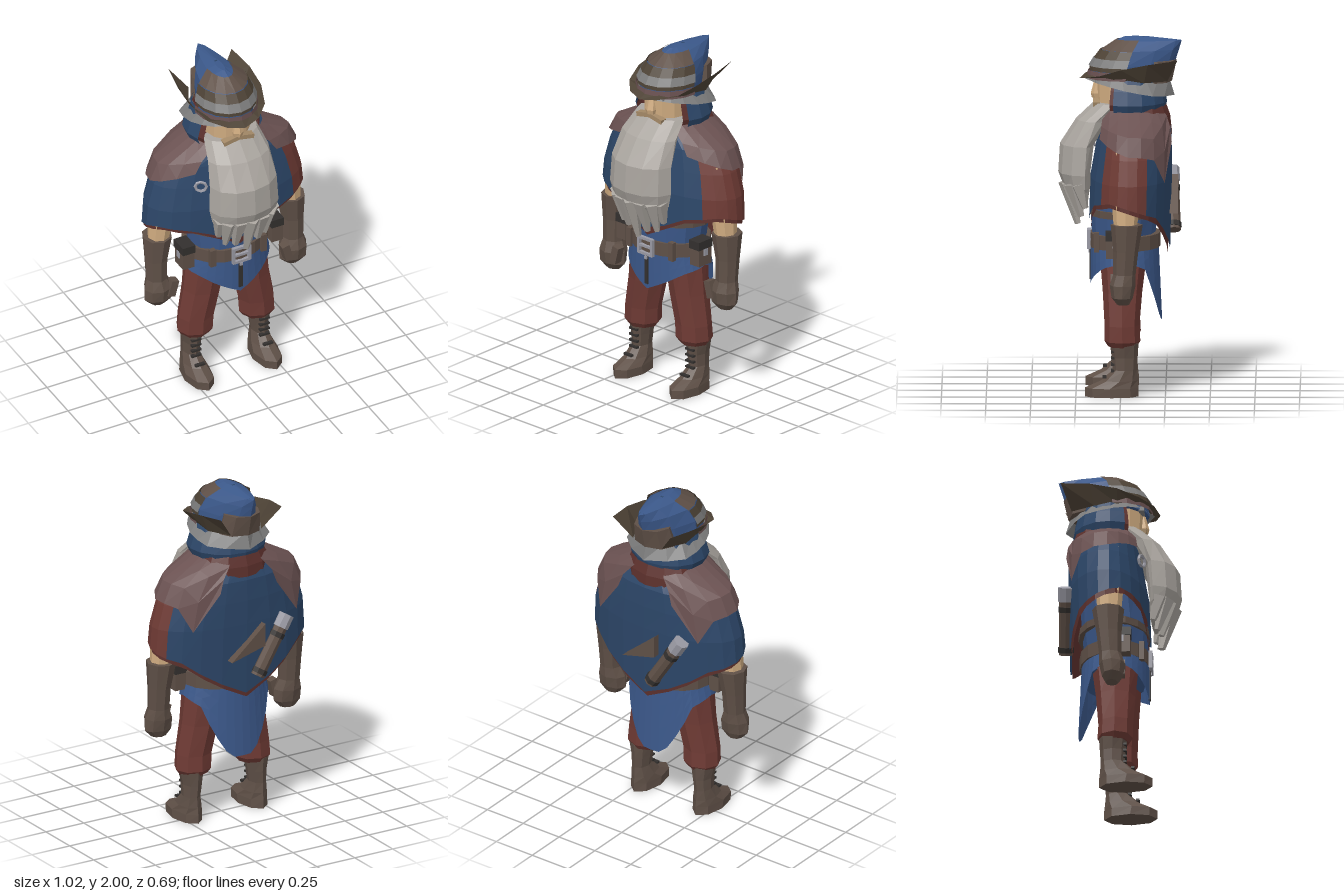
import * as THREE from 'three';
import { ParametricGeometry } from 'three/addons/geometries/ParametricGeometry.js';

const C = {
  blue: 0x3b588a, cape: 0x2c4668, red: 0x6e3a34, lining: 0x5c302c, pad: 0x6b5252, leather: 0x5f5047,
  brim: 0x4e4336, dark: 0x33302e, grey: 0x7c7c7c, metal: 0x9a9aa4, beard: 0xaaa59f, skin: 0xcfab80,
};
const PI = Math.PI;

// Row of a table [key, ...values] interpolated at key x
function lookup(table, x) {
  let i = 0;
  while (i < table.length - 2 && x > table[i + 1][0]) i++;
  const [p, q] = [table[i], table[i + 1]];
  const t = Math.min(1, Math.max(0, (x - p[0]) / (q[0] - p[0])));
  return p.slice(1).map((v, k) => v + (q[k + 1] - v) * t);
}

// Closed solid through level rings [y, halfWidth, zFront, zBack, cx, zWidest], bottom to top
function loft(rings, n = 8, pinch = 0) {
  const pos = [], idx = [];
  const add = (x, y, z) => pos.push(x, y, z) / 3 - 1;
  for (const [y, rx, zf, zb, cx = 0, zc = (zf + zb) / 2] of rings) {
    for (let j = 0; j < n; j++) {
      const s = Math.sin(j / n * 2 * PI), c = Math.cos(j / n * 2 * PI);
      add(cx + rx * s * (1 - pinch * Math.max(0, -c)), y, zc + c * (c > 0 ? zf - zc : zc - zb));
    }
  }
  const top = (rings.length - 1) * n;
  const ends = [rings[0], rings[rings.length - 1]].map(r => add(r[4] ?? 0, r[0], (r[2] + r[3]) / 2));
  for (let j = 0; j < n; j++) {
    const k = (j + 1) % n;
    for (let i = 0; i < top; i += n) idx.push(i + j, i + k, i + n + k, i + j, i + n + k, i + n + j);
    idx.push(ends[0], k, j, ends[1], top + j, top + k);
  }
  const g = new THREE.BufferGeometry();
  g.setAttribute('position', new THREE.Float32BufferAttribute(pos, 3));
  g.setIndex(idx);
  g.computeVertexNormals();
  return g;
}

// Open sheet from a rule f(u, v) -> [x, y, z]
const sheet = (nu, nv, f) => new ParametricGeometry((u, v, t) => t.set(...f(u, v)), nu, nv);

// Poncho: level rows by fraction, hem height by angle (0 = front, PI = back)
const PONCHO = [[0, 1.61, .15, .1, -.2], [.2, 1.56, .235, .11, -.25], [.4, 1.48, .39, .125, -.28],
  [.6, 1.36, .445, .145, -.285], [.8, 1.22, .485, .17, -.285], [1, 1.1, .495, .178, -.275]];
const HEM = [[0, .95], [.45, 1.08], [1.1, 1.12], [1.57, 1.09], [2.3, 1.03], [PI, .8]];
const SKIRT_HEM = [[0, .6], [.9, .72], [1.6, .76], [2.15, .72], [2.45, .57], [2.85, .41], [PI, .41]];
const fold = a => Math.abs(a > PI ? a - 2 * PI : a);
function ponchoAt(a, v, grow = 0, drop = 0) {
  let [y, rx, zf, zb] = lookup(PONCHO, v);
  if (v > .8) y += (lookup(HEM, fold(a))[0] - drop - 1.1) * (v - .8) / .2;
  const s = Math.sin(a), c = Math.cos(a), zc = -.05;
  return [(rx + grow) * Math.sign(s) * Math.abs(s) ** .9, y + Math.max(0, grow) * .6,
    zc + c * (c > 0 ? zf - zc + grow : zc - zb + grow)];
}

const CROWN = [[1.76, .165, .17, -.27, 0, -.02], [1.85, .16, .16, -.3, 0, -.03],
  [1.93, .13, .1, -.325, 0, -.06], [1.98, .07, .03, -.34, 0, -.1], [2, .02, -.02, -.16, 0, -.09]];

export function createModel() {
  const model = new THREE.Group();
  function part(name, geo, color, open = false) {
    const m = new THREE.Mesh(geo, new THREE.MeshStandardMaterial({
      color, flatShading: true, side: open ? THREE.DoubleSide : THREE.FrontSide }));
    m.name = name;
    model.add(m);
    return m;
  }
  const box = (name, w, h, d, x, y, z, color) => {
    const m = part(name, new THREE.BoxGeometry(w, h, d), color);
    m.position.set(x, y, z);
    return m;
  };

  for (const s of [1, -1]) {
    const side = s > 0 ? 'left' : 'right';
    // Boots with laces
    part(side + 'Boot', loft([[0, .075, .2, -.1, .215 * s], [.05, .075, .2, -.1, .215 * s, .06],
      [.09, .062, .11, -.095, .215 * s], [.15, .048, .045, -.09, .217 * s],
      [.22, .053, .05, -.095, .213 * s], [.3, .068, .06, -.1, .215 * s]], 8), C.leather);
    for (let i = 0; i < 5; i++)
      box(side + 'Lace', .06, .012, .02, .215 * s, .11 + i * .036, i ? .045 : .09, C.dark);
    // Trousers
    part(side + 'TrouserLeg', loft([[.28, .085, .07, -.09, .195 * s], [.31, .108, .09, -.11, .195 * s],
      [.4, .108, .09, -.105, .19 * s], [.58, .112, .1, -.12, .155 * s], [.82, .115, .12, -.15, .125 * s]], 8), C.red);
    // Arms and gloves
    part(side + 'Arm', loft([[.95, .06, .035, -.09, .42 * s], [1.15, .072, .05, -.11, .4 * s],
      [1.4, .08, .05, -.13, .34 * s]], 8), C.skin);
    part(side + 'Glove', loft([[.55, .045, .02, -.05, .425 * s], [.59, .085, .05, -.07, .425 * s],
      [.66, .085, .06, -.085, .425 * s], [.72, .062, .04, -.085, .43 * s],
      [.85, .066, .04, -.1, .43 * s], [1, .085, .055, -.125, .42 * s]], 8), C.leather);
    const thumb = box(side + 'Thumb', .045, .1, .05, .36 * s, .66, .03, C.leather);
    thumb.rotation.z = .25 * s;
    // Belt pouches
    box(side + 'Pouch', .07, .14, .1, .28 * s, .86, .03, C.leather);
    box(side + 'PouchFlap', .078, .05, .11, .28 * s, .915, .03, C.dark);
    box(side + 'PouchClasp', .015, .04, .03, .315 * s, .87, .03, C.metal);
    box(side + 'BeltLoop', .035, .11, .03, .16 * s, .86, .135, C.leather);
    // Shoulder pads, drawn out to a point at the back
    part(side + 'ShoulderPad', sheet(7, 3, (u, v) => {
      const a = .6 + u * 2.15;
      const reach = lookup([[0, .46], [.4, .58], [.7, .6], [.88, .84], [1, .5]], u)[0];
      const p = ponchoAt(a, .06 + v * (reach - .06), .022);
      return [p[0] * s, p[1], p[2]];
    }), C.pad, true);
  }

  // Tunic and its pointed skirt
  part('tunic', loft([[.74, .235, .15, -.2], [.86, .225, .16, -.19], [1.05, .25, .17, -.21],
    [1.3, .28, .14, -.22], [1.55, .17, .08, -.18]], 12), C.blue);
  part('tunicSkirt', sheet(32, 3, (u, v) => {
    const a = u * 2 * PI, y0 = .86, h = lookup(SKIRT_HEM, fold(a))[0];
    const c = Math.cos(a), w = .235 + .03 * v;
    return [w * Math.sin(a), y0 + (h - y0) * v, -.02 + c * (c > 0 ? .19 : .19 + .02 * v)];
  }), C.blue, true);

  // Belts and buckle
  part('belt', loft([[.82, .25, .174, -.222], [.9, .25, .174, -.222]], 16), C.leather);
  part('upperStrap', loft([[1, .262, .175, -.228], [1.04, .264, .175, -.228]], 16), C.leather);
  for (const s of [1, -1]) {
    box('buckleBar', .11, .016, .02, 0, .86 + .045 * s, .178, C.metal);
    box('buckleSide', .016, .1, .02, .05 * s, .86, .178, C.metal);
  }
  box('bucklePin', .09, .014, .02, 0, .86, .178, C.metal);
  box('hangingStrap', .025, .18, .012, 0, .72, .17, C.dark);
  box('strapStud', .018, .018, .012, 0, .79, .176, C.metal);

  // Poncho: blue cloth, red panel on the left side, red lining below the hem
  const cloth = (name, a0, a1, n, color, grow = 0, drop = 0) =>
    part(name, sheet(n, 5, (u, v) => ponchoAt(a0 + u * (a1 - a0), v, grow, drop)), color, true);
  cloth('ponchoSidePanel', .8, 2, 5, C.red);
  cloth('poncho', 2, 2 * PI + .8, 18, C.cape);
  cloth('ponchoLining', 0, 2 * PI, 24, C.lining, -.012, .025);

  // Scarf and hood at the neck
  part('scarf', loft([[1.5, .23, .08, -.28], [1.56, .225, .08, -.275], [1.63, .19, .06, -.25]], 12), C.lining);
  const hood = (name, grow, color, a0) => part(name, sheet(10, 3, (u, v) => {
    const a = a0 + u * 2 * (PI - a0);
    const [w, d] = lookup([[0, .17, .17], [.4, .21, .2], [.75, .235, .21], [1, .2, .19]], v);
    return [(w + grow) * Math.sin(a), 1.79 - .23 * v, -.05 + (d + grow) * Math.cos(a)];
  }), color, true);
  hood('hood', 0, C.cape, 1.1);
  hood('hoodLining', -.012, C.lining, .95);

  // Head, nose, brows and moustache
  part('head', loft([[1.5, .11, .1, -.12], [1.62, .13, .135, -.14], [1.8, .135, .14, -.15]], 12), C.skin);
  part('nose', loft([[1.655, .03, .162, .1], [1.68, .036, .168, .1], [1.77, .018, .145, .1]], 6), C.skin);
  for (const s of [1, -1]) {
    box('eyebrow', .075, .025, .03, .065 * s, 1.765, .13, C.grey);
    box('moustache', .1, .026, .04, .045 * s, 1.638, .135, 0xa58a68).rotation.z = -.2 * s;
  }

  // Beard with chunky hanging locks, longest in the middle
  part('beard', loft([[1.1, .15, .28, .18, 0, .2], [1.16, .195, .32, .17, 0, .2], [1.24, .212, .35, .17, 0, .2],
    [1.4, .205, .34, .15, 0, .19], [1.54, .19, .25, .05, 0, .14], [1.635, .165, .15, -.01, 0, .04]], 12), C.beard);
  for (let i = -3; i <= 3; i++) {
    const len = .25 - Math.abs(i) * .03 - (i % 2 ? .02 : 0), a = i * .45;
    const lock = part('beardLock', new THREE.CylinderGeometry(.05, .018, len, 5), C.beard);
    lock.position.set(.16 * Math.sin(a), 1.19 - len / 2, .2 + .07 * Math.cos(a));
    lock.rotation.set(.25, i * .7, 0);
  }

  // Hat: pointed crown leaning back, layered front bands, upturned brim, neck flap
  part('hatCrown', loft(CROWN, 12, .35), C.blue);
  const bands = [[1.77, 1.815, C.pad, .02], [1.815, 1.85, C.brim, .012], [1.84, 1.885, C.grey, .02],
    [1.88, 1.93, C.brim, .016], [1.93, 1.985, C.leather, .01]];
  for (const [y0, y1, color, grow] of bands) part('hatBand', sheet(8, 1, (u, v) => {
    const a = -1.6 + u * 3.2, y = y0 + (y1 - y0) * v;
    const [rx, zf, , , zc] = lookup(CROWN, y);
    return [(rx + grow) * Math.sin(a), y, zc + (zf - zc + grow) * Math.cos(a)];
  }), color, true);
  box('hatRidge', .02, .012, .2, 0, 1.985, -.22, C.cape).rotation.x = -.1;
  const OUTER = [[0, 0, 1.765, .23], [.2, .1, 1.78, .2], [.4, .18, 1.8, .12], [.6, .22, 1.84, 0],
    [.8, .225, 1.87, -.15], [1, .2, 1.89, -.315]];
  const INNER = [[0, 0, 1.8, .16], [.2, .08, 1.795, .15], [.4, .14, 1.785, .09], [.6, .17, 1.77, 0],
    [.8, .17, 1.76, -.13], [1, .1, 1.76, -.26]];
  const FLAP = [[0, 0, 1.762, .2], [.3, .17, 1.75, .11], [.55, .23, 1.715, -.05], [.8, .2, 1.685, -.21],
    [1, 0, 1.67, -.3]];
  const CROWN_EDGE = [[0, 0, 1.79, .16], [.3, .14, 1.79, .08], [.55, .165, 1.78, -.03], [.8, .14, 1.77, -.17],
    [1, 0, 1.77, -.27]];
  const strip = (name, from, to, n, color) => part(name, sheet(n, 1, (u, v) => {
    const k = u * 2 - 1, p = lookup(from, Math.abs(k)), q = lookup(to, Math.abs(k));
    const r = p.map((e, i) => e + (q[i] - e) * v);
    return [r[0] * Math.sign(k), r[1], r[2]];
  }), color, true);
  strip('hatBrim', INNER, OUTER, 10, C.brim);
  strip('neckFlap', CROWN_EDGE, FLAP, 16, C.grey);
  part('hatBackBand', loft([[1.75, .13, -.08, -.285], [1.87, .11, -.1, -.312]], 8), C.leather);

  // Scroll case slung across the back
  const top = new THREE.Vector3(-.245, 1.21, -.28), low = new THREE.Vector3(-.05, .9, -.295);
  const axis = top.clone().sub(low), dir = axis.clone().normalize();
  const tube = (name, r, len, t, color) => {
    const m = part(name, new THREE.CylinderGeometry(r, r, len, 8), color);
    m.position.copy(low).addScaledVector(axis, t);
    m.quaternion.setFromUnitVectors(new THREE.Vector3(0, 1, 0), dir);
  };
  tube('scrollCase', .04, axis.length(), .5, C.leather);
  tube('scrollCaseCap', .046, .08, .93, C.metal);
  for (const t of [.08, .7]) tube('scrollCaseBand', .045, .03, t, C.dark);

  // Leather sheath on the back and brooch on the chest
  const flap = new THREE.Shape([[-.1, .09], [-.1, -.04], [.12, -.1]].map(p => new THREE.Vector2(...p)));
  part('backSheath', new THREE.ExtrudeGeometry(flap, { depth: .05, bevelEnabled: false }), C.leather)
    .position.set(.01, 1.12, -.32);
  const brooch = part('brooch', new THREE.TorusGeometry(.032, .009, 5, 8), C.metal);
  brooch.position.set(-.235, 1.38, .14);
  brooch.rotation.y = -.5;
  return model;
}
